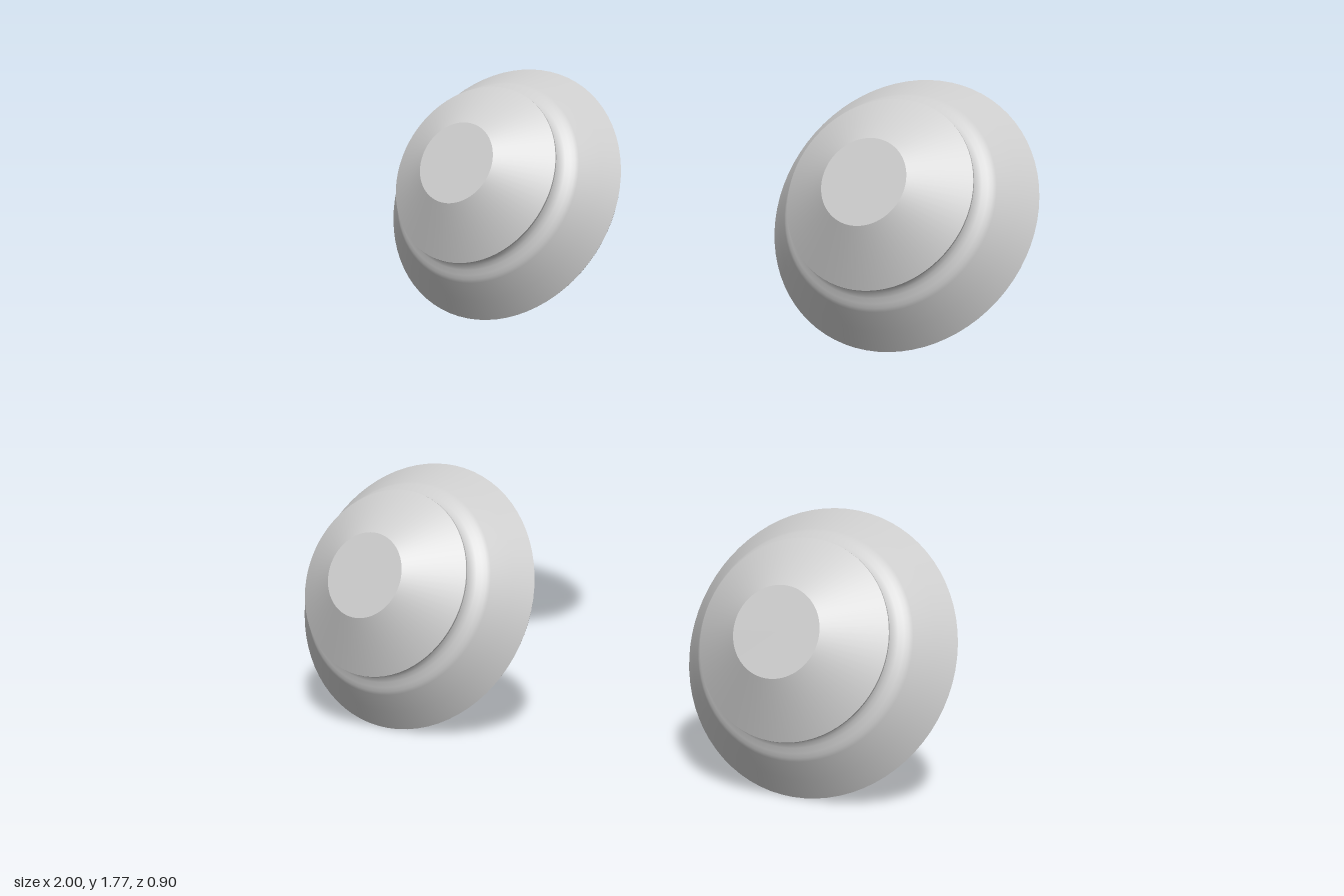
import * as THREE from 'three';
import { mergeGeometries } from 'three/addons/utils/BufferGeometryUtils.js';

// Each run of the (radius, height) profile is smooth; runs meet at sharp edges.
function turned(runs, segments = 72) {
  return mergeGeometries(runs.map((run) =>
    new THREE.LatheGeometry(run.map(([r, h]) => new THREE.Vector2(r, h)), segments)));
}

export function createModel() {
  const group = new THREE.Group();
  const material = new THREE.MeshStandardMaterial({ color: 0xcccccc });

  // Flared base, hollowed at the back, with a rounded neck under the cap
  const baseGeometry = turned([
    [[0, 0.07], [0.312, 0.07]],
    [[0.312, 0.07], [0.357, 0]],
    [[0.357, 0], [0.372, 0]],
    [[0.372, 0], [0.375, 0.005]],
    [[0.375, 0.005], [0.335, 0.058], [0.298, 0.107], [0.29, 0.115], [0.28, 0.122],
      [0.267, 0.13], [0.258, 0.138], [0.252, 0.148], [0.25, 0.16]],
  ]);

  // Cap: thin lip, sloping side and flat end
  const capGeometry = turned([
    [[0.25, 0.16], [0.257, 0.163]],
    [[0.257, 0.163], [0.26, 0.167], [0.26, 0.172]],
    [[0.26, 0.172], [0.118, 0.27]],
    [[0.118, 0.27], [0, 0.27]],
  ]);

  // Four identical knobs in two stepped rows, leaning upward
  const rows = [['upper', 1.428, -0.298], ['lower', 0.35, 0.16]];
  for (const [row, y, z] of rows) {
    for (const [side, x] of [['Left', 0.625], ['Right', -0.625]]) {
      const knob = new THREE.Group();
      knob.name = `${row}${side}Knob`;
      const base = new THREE.Mesh(baseGeometry, material);
      base.name = 'flaredBase';
      const cap = new THREE.Mesh(capGeometry, material);
      cap.name = 'cap';
      knob.add(base, cap);
      knob.position.set(x, y, z);
      knob.rotation.x = THREE.MathUtils.degToRad(67);
      group.add(knob);
    }
  }
  return group;
}
